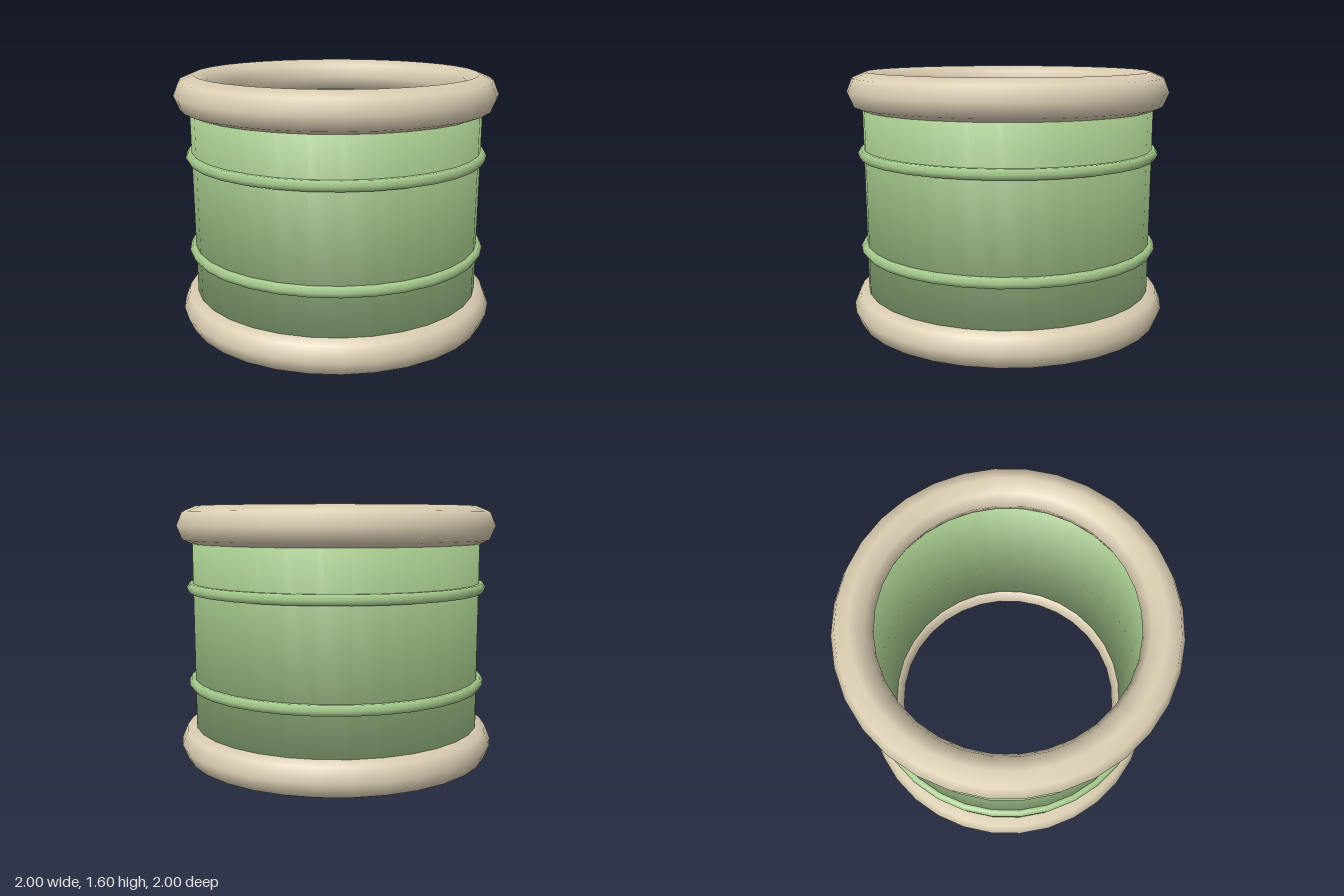
import * as THREE from 'three';

const SEGMENTS = 32;

// Horizontal ring centred on the y axis
function ring(name, radius, tube, sides, y, material) {
  const geometry = new THREE.TorusGeometry(radius, tube, sides, SEGMENTS);
  geometry.rotateX(Math.PI / 2);
  const mesh = new THREE.Mesh(geometry, material);
  mesh.name = name;
  mesh.position.y = y;
  return mesh;
}

// Thick-walled open tube, shaded softly around its four corners
function wallGeometry(outer, inner, bottom, top) {
  const profile = [
    [outer, bottom], [outer, top], [inner, top], [inner, bottom], [outer, bottom],
  ].map(([r, y]) => new THREE.Vector2(r, y));
  const geometry = new THREE.LatheGeometry(profile, SEGMENTS);
  const { position, normal } = geometry.attributes;
  const middleRadius = (outer + inner) / 2;
  const middleHeight = (bottom + top) / 2;
  const n = new THREE.Vector3();
  for (let i = 0; i < position.count; i++) {
    n.set(position.getX(i), 0, position.getZ(i));
    const outward = n.length() > middleRadius ? 1 : -1;
    n.normalize().multiplyScalar(outward);
    n.y = position.getY(i) > middleHeight ? 1 : -1;
    n.normalize();
    normal.setXYZ(i, n.x, n.y, n.z);
  }
  return geometry;
}

export function createModel() {
  const green = new THREE.MeshStandardMaterial({ color: 0xa5c98c });
  green.name = 'softGreen';
  const cream = new THREE.MeshStandardMaterial({ color: 0xdacdb2 });
  cream.name = 'cream';

  const model = new THREE.Group();
  model.name = 'openBarrel';

  // Barrel wall, its ends hidden inside the rims
  const wall = new THREE.Mesh(wallGeometry(0.907, 0.8, 0.12, 1.48), green);
  wall.name = 'wall';
  model.add(wall);

  // Round rims at both ends
  model.add(ring('bottomRim', 0.88, 0.12, 8, 0.12, cream));
  model.add(ring('topRim', 0.88, 0.12, 8, 1.48, cream));

  // Thin raised bands around the wall
  model.add(ring('lowerBand', 0.91, 0.035, 6, 0.505, green));
  model.add(ring('upperBand', 0.91, 0.035, 6, 1.1, green));

  return model;
}
